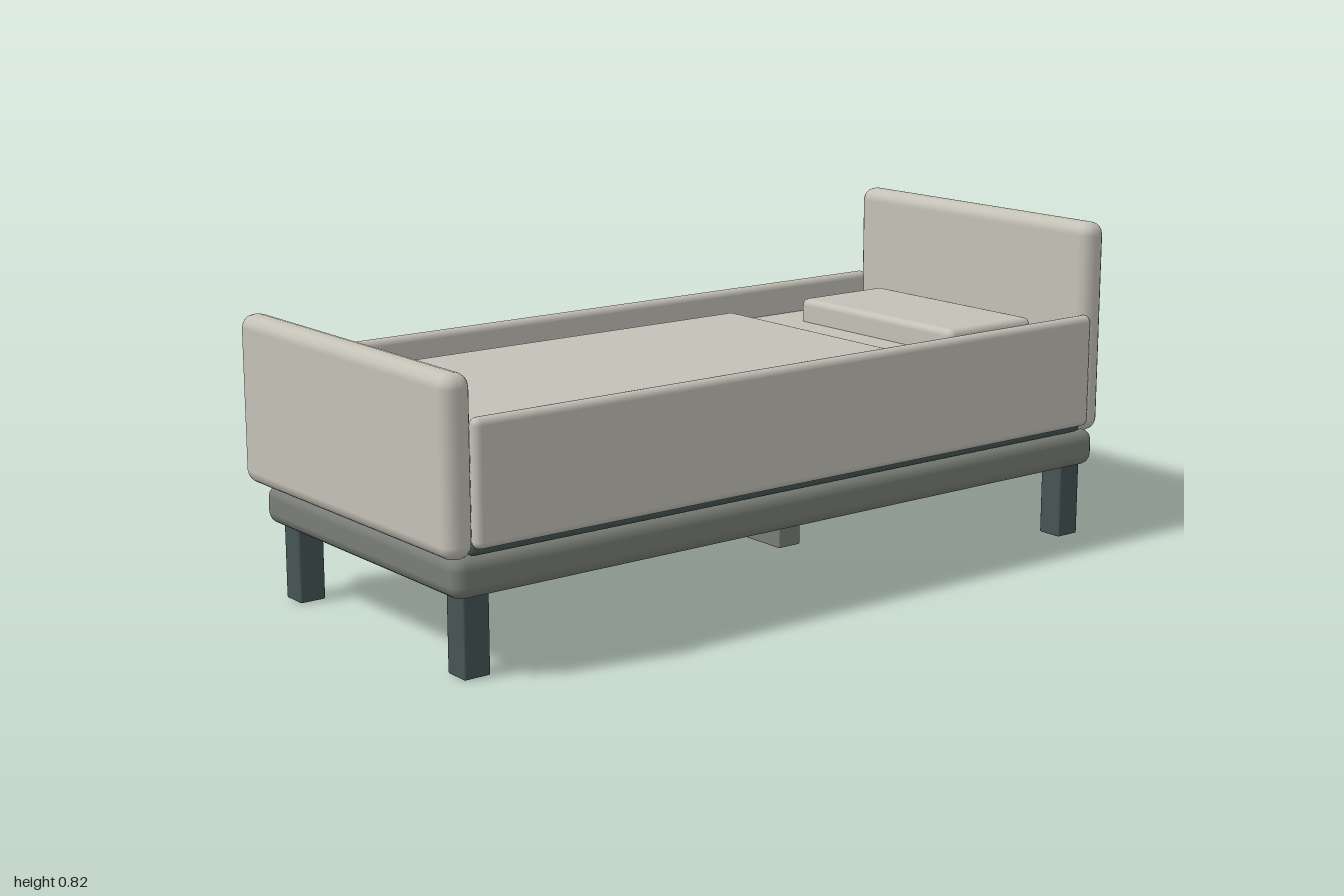
import * as THREE from 'three';
import { RoundedBoxGeometry } from 'three/addons/geometries/RoundedBoxGeometry.js';

function material(name, color) {
  const m = new THREE.MeshStandardMaterial({ color });
  m.name = name;
  return m;
}

export function createModel() {
  const bed = new THREE.Group();
  bed.name = 'bed';
  const fabric = material('warm grey fabric', 0xc4c1b7);
  const frame = material('dark grey frame', 0x7a7d77);
  const slate = material('slate', 0x465454);

  // Rounded block given by its limits on each axis
  function block(name, mat, [x0, x1], [y0, y1], [z0, z1], radius, segments = 2) {
    const geo = new RoundedBoxGeometry(x1 - x0, y1 - y0, z1 - z0, segments, radius);
    const mesh = new THREE.Mesh(geo, mat);
    mesh.name = name;
    mesh.position.set((x0 + x1) / 2, (y0 + y1) / 2, (z0 + z1) / 2);
    bed.add(mesh);
  }

  // Legs and the cross bar under the middle
  for (const [side, x] of [['Right', [-0.373, -0.305]], ['Left', [0.336, 0.404]]]) {
    block('frontLeg' + side, slate, x, [0, 0.2], [0.871, 0.938], 0.004, 1);
    block('backLeg' + side, slate, x, [0, 0.2], [-0.967, -0.9], 0.004, 1);
  }
  block('crossBar', frame, [-0.333, 0.367], [0.125, 0.2], [-0.045, 0.021], 0.004, 1);

  // Base and the thin platform that carries the mattress
  block('base', frame, [-0.404, 0.43], [0.186, 0.281], [-0.997, 0.972], 0.03);
  block('platform', slate, [-0.404, 0.428], [0.281, 0.312], [-0.94, 0.93], 0.012);

  // End boards
  block('headboard', fabric, [-0.418, 0.444], [0.28, 0.824], [-1, -0.927], 0.033);
  block('footboard', fabric, [-0.453, 0.447], [0.28, 0.688], [0.927, 1], 0.033);

  // Side panels
  block('sidePanelRight', fabric, [-0.432, -0.397], [0.3, 0.589], [-0.947, 0.931], 0.017);
  block('sidePanelLeft', fabric, [0.418, 0.453], [0.3, 0.589], [-0.947, 0.931], 0.017);

  // Bedding
  block('mattress', fabric, [-0.403, 0.422], [0.305, 0.505], [-0.94, 0.935], 0.01);
  block('blanket', fabric, [-0.342, 0.364], [0.495, 0.543], [-0.408, 0.87], 0.01);
  block('pillow', fabric, [-0.285, 0.296], [0.49, 0.567], [-0.889, -0.6], 0.018);

  return bed;
}
